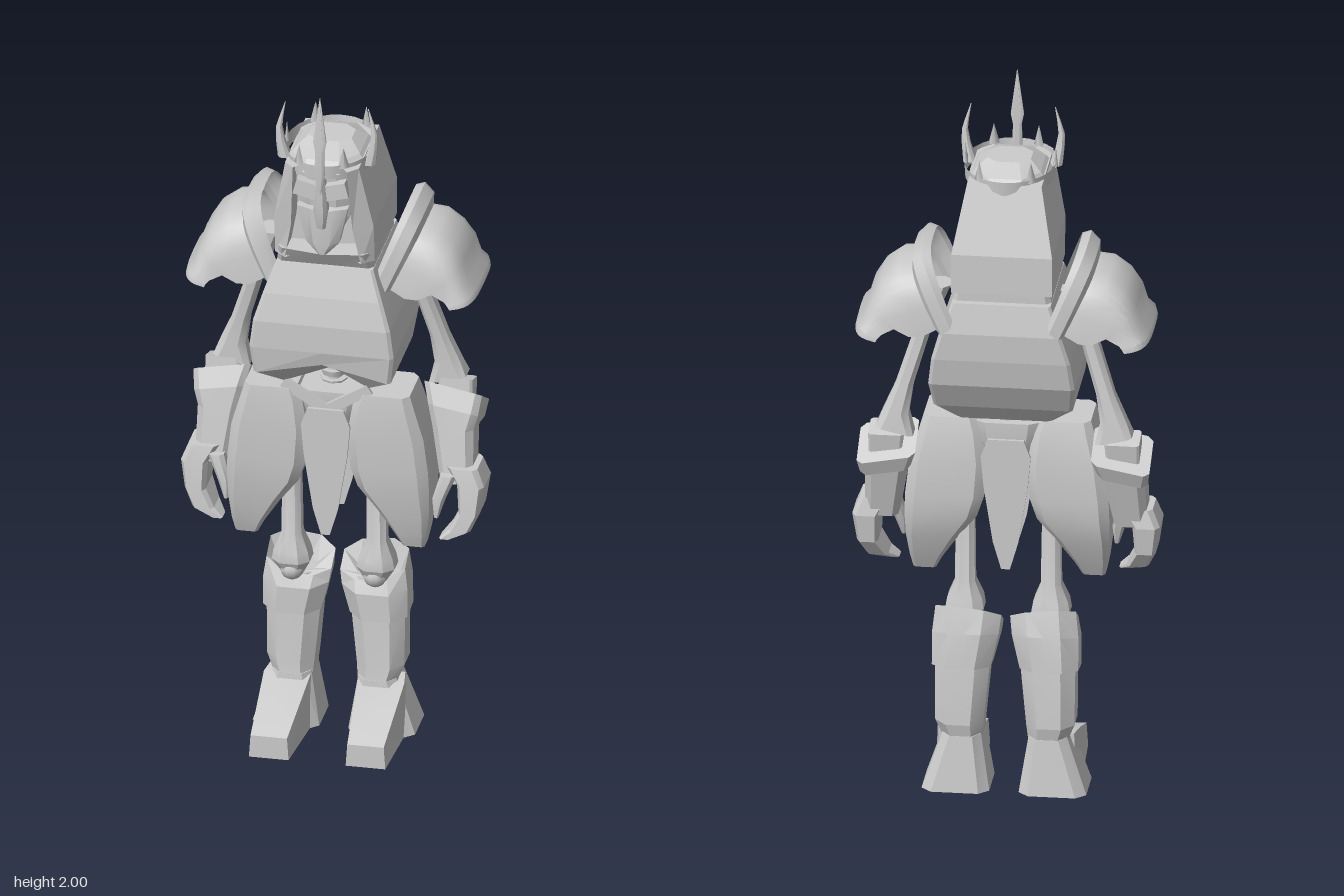
import * as THREE from 'three';
import { toCreasedNormals } from 'three/addons/utils/BufferGeometryUtils.js';

const steel = new THREE.MeshStandardMaterial({ color: 0xcccccc, side: THREE.DoubleSide });
steel.name = 'steel grey';

// Skin a list of rings (arrays of [x, y, z]); rings may be closed and capped.
function loft(rings, { closed = true, caps = true, crease = 0.45 } = {}) {
  const n = rings[0].length, idx = [];
  const pos = rings.flat();
  for (let i = 0; i < rings.length - 1; i++) {
    for (let j = 0; j < (closed ? n : n - 1); j++) {
      const k = (j + 1) % n, a = i * n, b = a + n;
      idx.push(a + j, a + k, b + k, a + j, b + k, b + j);
    }
  }
  if (caps) {
    [0, rings.length - 1].forEach((r) => {
      const c = pos.length;
      pos.push([0, 1, 2].map((d) => rings[r].reduce((s, p) => s + p[d], 0) / n));
      for (let j = 0; j < n; j++) {
        const a = r * n + j, b = r * n + (j + 1) % n;
        idx.push(c, r ? a : b, r ? b : a);
      }
    });
  }
  const g = new THREE.BufferGeometry();
  g.setAttribute('position', new THREE.Float32BufferAttribute(pos.flat(), 3));
  g.setIndex(idx);
  return toCreasedNormals(g, crease);
}

// Chamfered rectangle at a height; slope tips it along x, dip along z, lift raises its front centre.
function ring([y, x0, x1, z0, z1, { c = 0.5, slope = 0, dip = 0, lift = 0 } = {}]) {
  const k = 1 - c;
  const uv = [[1, -k], [k, -1], [0, -1], [-k, -1], [-1, -k], [-1, k], [-k, 1], [0, 1], [k, 1], [1, k]];
  return uv.map(([u, v]) => {
    const hx = (x1 - x0) / 2, hz = (z1 - z0) / 2;
    return [(x0 + x1) / 2 + u * hx, y + u * slope + v * dip + (u === 0 && v === 1 ? lift : 0), (z0 + z1) / 2 + v * hz];
  });
}
const levels = (rows, opt) => loft(rows.map(ring), opt);

function leaf(points, z) {
  const s = new THREE.Shape(points.map(([x, y]) => new THREE.Vector2(x, y)));
  return new THREE.ExtrudeGeometry(s, { depth: 0.009, bevelEnabled: false }).translate(0, 0, z);
}

export function createModel() {
  const root = new THREE.Group();
  root.name = 'armouredKing';
  const add = (name, g, parent = root) => {
    const m = new THREE.Mesh(g, steel);
    m.name = name;
    parent.add(m);
    return m;
  };

  // Breastplate with raised front notch
  add('breastplate', levels([
    [1.09, -0.13, 0.13, -0.1, 0.1, { c: 0.1, lift: 0.06 }],
    [1.14, -0.19, 0.19, -0.14, 0.165, { c: 0.05, lift: 0.04 }],
    [1.22, -0.2, 0.2, -0.185, 0.175, { c: 0.05 }],
    [1.3, -0.19, 0.19, -0.2, 0.175, { c: 0.05 }],
    [1.38, -0.165, 0.165, -0.205, 0.16, { c: 0.05 }],
    [1.465, -0.135, 0.135, -0.19, 0.135, { c: 0.05 }],
  ], { crease: 0.1 }));
  add('collar', levels([
    [1.46, -0.135, 0.135, -0.17, 0.12, { c: 0.1 }],
    [1.52, -0.125, 0.125, -0.17, 0.155, { c: 0.1, lift: -0.01 }],
  ]));

  // Hood: a block with its front hollowed for the face
  const hood = [[1.49, 0.138, 0.15, -0.175, 0.105], [1.6, 0.138, 0.165, -0.172, 0.085], [1.785, 0.102, 0.19, -0.11, 0.075]];
  add('hood', loft(hood.map(([y, w, zf, zb, wi]) => [
    [w, zf - 0.03], [w, zb], [-w, zb], [-w, zf - 0.03], [-wi, zf], [-wi, 0.09], [wi, 0.09], [wi, zf],
  ].map(([x, z]) => [x, y, z])), { crease: 0.1 }));

  // Face mask: backing skull, brow, cheeks and nose guard
  add('skull', levels([[1.54, -0.03, 0.03, 0.06, 0.13], [1.62, -0.07, 0.07, 0.06, 0.145], [1.78, -0.08, 0.08, 0.06, 0.16]]));
  add('jawGuard', levels([
    [1.515, -0.012, 0.012, 0.14, 0.165], [1.55, -0.046, 0.046, 0.11, 0.17], [1.655, -0.07, 0.07, 0.11, 0.17, { lift: -0.01 }],
  ]));
  add('noseGuard', levels([[1.6, -0.012, 0.012, 0.15, 0.18], [1.66, -0.02, 0.02, 0.15, 0.195], [1.76, -0.01, 0.01, 0.15, 0.19]]));
  for (const s of [-1, 1]) {
    const brow = add('brow', new THREE.BoxGeometry(0.07, 0.045, 0.03));
    brow.position.set(s * 0.038, 1.715, 0.165);
    brow.rotation.z = s * 0.25;
  }

  // Crown
  const crown = new THREE.Group();
  crown.name = 'crown';
  root.add(crown);
  const RX = 0.123, RZ = 0.155, CZ = 0.035;
  const band = add('crownBand', new THREE.CylinderGeometry(1.02, 1, 0.04, 24, 1, true), crown);
  band.scale.set(RX, 1, RZ);
  band.position.set(0, 1.778, CZ);
  add('crownCap', levels([
    [1.77, -0.11, 0.11, -0.11, 0.18, { c: 0.55 }], [1.795, -0.09, 0.09, -0.09, 0.15], [1.82, -0.06, 0.06, -0.03, 0.08],
  ], { crease: 0.2 }), crown);
  add('frontSpike', levels([
    [1.69, -0.002, 0.002, 0.185, 0.19], [1.77, -0.014, 0.014, 0.183, 0.2], [1.84, -0.012, 0.012, 0.183, 0.197],
    [1.87, -0.018, 0.018, 0.183, 0.197], [2.0, -0.001, 0.001, 0.185, 0.189],
  ]), crown);
  for (const a of [30, 90, 145, 215, 270, 330]) {
    const t = a * Math.PI / 180;
    const spike = add('smallSpike', new THREE.ConeGeometry(0.017, 0.06, 4).scale(1, 1, 0.4), crown);
    spike.position.set(RX * Math.sin(t), 1.818, CZ + RZ * Math.cos(t));
    spike.rotation.y = t;
  }

  // Spine and hips
  add('spine', new THREE.CylinderGeometry(0.02, 0.02, 0.24, 8).translate(0, 1.1, 0));
  for (let i = 0; i < 6; i++) add('vertebra', new THREE.CylinderGeometry(0.038, 0.034, 0.016, 8).translate(0, 1.03 + i * 0.028, 0));
  add('pelvis', levels([[0.93, -0.06, 0.06, -0.05, 0.07], [1.02, -0.11, 0.11, -0.06, 0.09], [1.06, -0.12, 0.12, -0.06, 0.09]]));

  // Hanging centre plates, front and back
  const outline = [[-0.012, 0.64], [0.012, 0.64], [0.035, 0.72], [0.06, 0.88], [0.068, 0.97], [0.05, 1.02], [-0.05, 1.02], [-0.068, 0.97], [-0.06, 0.88], [-0.035, 0.72]];
  add('frontPlate', leaf(outline, 0.108));
  add('backPlate', leaf(outline, -0.082));

  for (const side of [1, -1]) {
    const half = new THREE.Group();
    half.name = side > 0 ? 'leftSide' : 'rightSide';
    half.scale.x = side;
    root.add(half);
    const part = (name, g) => add(name, g, half);

    // Curved crown horn
    part('crownHorn', levels([
      [1.77, 0.1, 0.135, 0.07, 0.11], [1.82, 0.117, 0.14, 0.08, 0.108], [1.86, 0.124, 0.14, 0.085, 0.105],
      [1.89, 0.121, 0.131, 0.09, 0.1], [1.935, 0.114, 0.116, 0.094, 0.097],
    ]));

    // Shoulder plate: arches swept outward [base x, base y, top x, top y, half depth]
    const arches = [
      [0.13, 1.42, 0.2, 1.605, 0.15], [0.135, 1.4, 0.225, 1.612, 0.162], [0.16, 1.38, 0.25, 1.585, 0.16], [0.175, 1.39, 0.25, 1.55, 0.148],
      [0.215, 1.37, 0.29, 1.545, 0.155], [0.25, 1.37, 0.335, 1.51, 0.157], [0.29, 1.39, 0.365, 1.46, 0.157],
      [0.325, 1.37, 0.38, 1.405, 0.155], [0.335, 1.36, 0.4, 1.385, 0.16], [0.34, 1.35, 0.405, 1.365, 0.16],
    ];
    part('shoulderPlate', loft(arches.map(([bx, by, tx, ty, d]) => Array.from({ length: 15 }, (_, i) => {
      const t = (i / 14) * Math.PI, s = Math.sin(t) ** 0.6, c = -Math.cos(t);
      return [bx + (tx - bx) * s, by + (ty - by) * s, -0.057 + d * Math.sign(c) * Math.abs(c) ** 0.55];
    })), { closed: false, caps: false, crease: 0.6 }));

    // Upper arm bone flaring at the elbow
    part('upperArm', levels([
      [1.05, 0.248, 0.35, -0.135, -0.06, { slope: 0.012, c: 0.3 }], [1.1, 0.262, 0.335, -0.13, -0.06], [1.18, 0.25, 0.3, -0.12, -0.06],
      [1.35, 0.2, 0.245, -0.1, -0.035], [1.47, 0.15, 0.22, -0.1, -0.02],
    ]));

    // Gauntlet
    part('elbowStub', levels([[0.97, 0.28, 0.37, -0.12, -0.05, { c: 0.15 }], [1.05, 0.275, 0.37, -0.13, -0.06, { c: 0.15, dip: 0.01 }]]));
    part('gauntlet', levels([
      [0.78, 0.295, 0.385, -0.08, 0.02, { c: 0.35 }], [0.93, 0.268, 0.382, -0.12, 0.0, { c: 0.35 }],
      [0.96, 0.255, 0.393, -0.135, -0.01, { c: 0.25, slope: -0.012, dip: 0.03 }],
      [1.01, 0.24, 0.4, -0.153, -0.035, { c: 0.2, slope: -0.015, dip: 0.035 }],
    ], { crease: 0.2 }));

    // Curled mitten hand with a hooked thumb
    part('hand', levels([
      [0.625, 0.3, 0.33, 0.0, 0.05, { c: 0.3 }], [0.65, 0.325, 0.385, -0.045, 0.05, { c: 0.3 }], [0.7, 0.35, 0.408, -0.08, 0.045, { c: 0.3 }],
      [0.78, 0.345, 0.42, -0.09, 0.04, { c: 0.3 }], [0.83, 0.315, 0.4, -0.08, 0.03, { c: 0.3 }],
    ], { crease: 0.2 }));
    part('thumb', levels([[0.685, 0.285, 0.297, 0.025, 0.045], [0.74, 0.28, 0.315, 0.005, 0.05], [0.81, 0.3, 0.345, -0.01, 0.04]]));

    // Thigh guard and hip strap
    part('thighGuard', levels([
      [0.6, 0.2, 0.262, 0.0, 0.06], [0.64, 0.18, 0.27, -0.02, 0.075], [0.71, 0.135, 0.278, -0.05, 0.09], [0.78, 0.082, 0.28, -0.072, 0.103],
      [0.84, 0.062, 0.278, -0.075, 0.108], [0.94, 0.055, 0.266, -0.075, 0.112], [1.03, 0.07, 0.24, -0.065, 0.112], [1.07, 0.085, 0.228, -0.055, 0.108],
    ].map((row) => [...row, { c: 0.25 }]), { crease: 0.6 }));
    const strap = part('hipStrap', new THREE.BoxGeometry(0.14, 0.03, 0.012));
    strap.position.set(0.06, 1.05, 0.1);
    strap.rotation.z = 0.55;

    // Thigh bone and knee
    part('thighBone', levels([
      [0.46, 0.085, 0.145, -0.04, 0.02], [0.5, 0.065, 0.17, -0.065, 0.04], [0.53, 0.07, 0.165, -0.06, 0.04],
      [0.58, 0.09, 0.145, -0.045, 0.02], [0.95, 0.095, 0.14, -0.03, 0.025],
    ]));
    part('kneeKnob', new THREE.SphereGeometry(0.034, 10, 8).translate(0.115, 0.475, 0.005));

    // Greave with a sloping cuff
    part('greave', levels([
      [0.15, 0.062, 0.172, -0.125, 0.02], [0.195, 0.058, 0.19, -0.135, 0.015], [0.36, 0.042, 0.192, -0.125, 0.01], [0.46, 0.04, 0.185, -0.11, 0.005],
    ], { crease: 0.2 }));
    part('greaveCuff', levels([
      [0.35, 0.04, 0.2, -0.133, 0.022, { dip: -0.01 }], [0.44, 0.018, 0.2, -0.125, 0.022, { dip: -0.02 }],
      [0.495, 0.012, 0.192, -0.105, 0.005, { dip: -0.035, slope: 0.01 }], [0.46, 0.06, 0.17, -0.09, -0.01],
    ], { crease: 0.2 }));

    // Boot: flared heel shaft and wedge toe
    part('bootHeel', levels([[0, 0.04, 0.225, -0.145, 0.03, { c: 0.3 }], [0.16, 0.065, 0.17, -0.128, 0.02, { c: 0.4 }]], { crease: 0.2 }));
    const wedge = [[-0.06, 0.06, 0.19, 0.155], [0.0, 0.06, 0.2, 0.15], [0.225, 0.079, 0.189, 0.065]];
    part('bootToe', loft(wedge.map(([z, x0, x1, h]) => {
      const m = (x0 + x1) / 2, w = (x1 - x0) * 0.46;
      return [[x0, 0, z], [x1, 0, z], [m + w, h, z], [m - w, h, z]];
    })));
  }
  return root;
}
